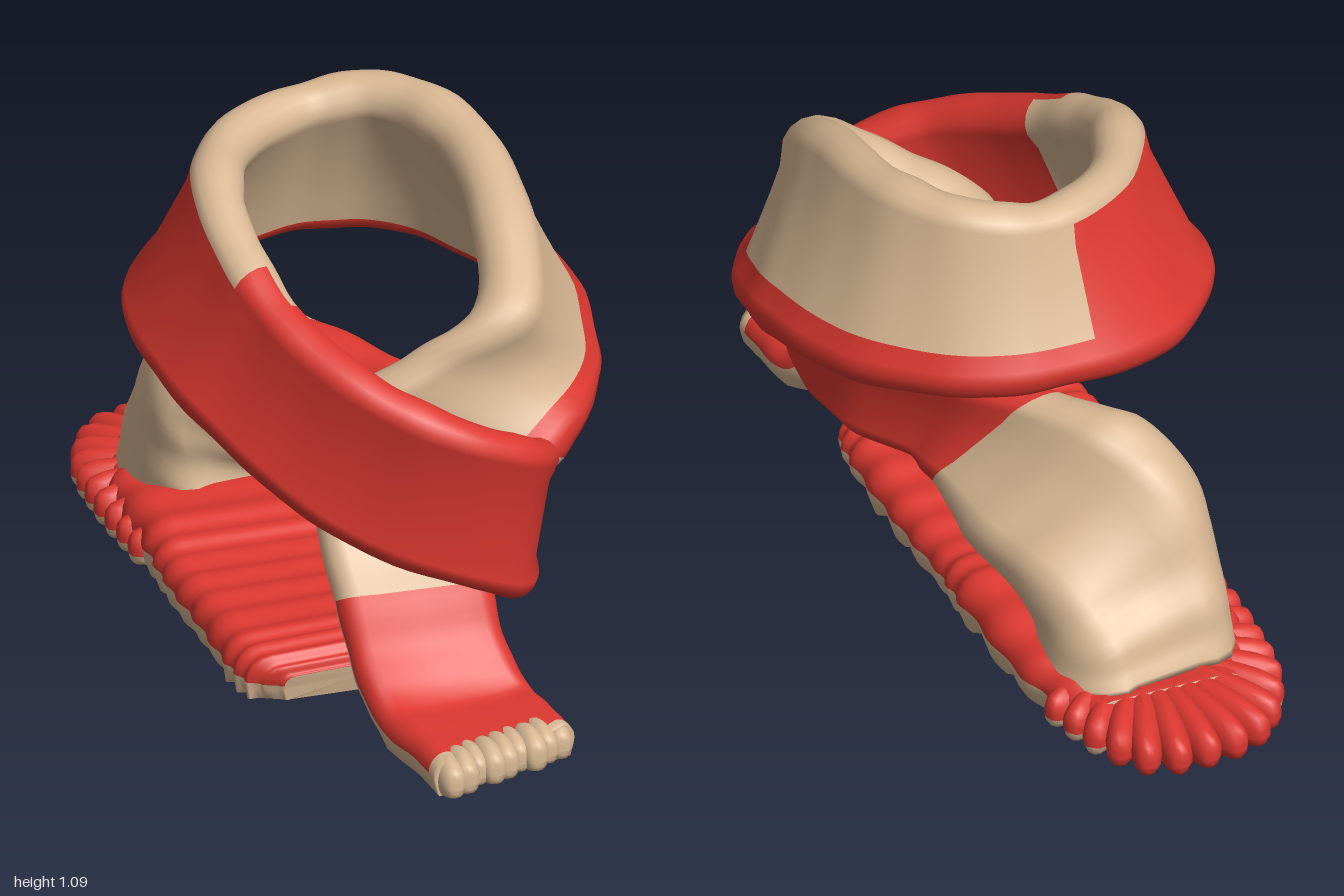
import * as THREE from 'three';

const red = new THREE.MeshStandardMaterial({ color: 0xdc3830 });
red.name = 'knit red';
const beige = new THREE.MeshStandardMaterial({ color: 0xd9b894 });
beige.name = 'wool beige';

// Each station: upper/left edge (x, y, z), lower/right edge (x, y, z), half thickness
const frontTail = [
  [-0.13, 0.04, 0.95, 0.15, 0.04, 0.86, 0.036],
  [-0.13, 0.042, 0.84, 0.14, 0.042, 0.79, 0.042],
  [-0.15, 0.05, 0.68, 0.12, 0.05, 0.66, 0.045],
  [-0.17, 0.13, 0.58, 0.09, 0.13, 0.58, 0.042],
  [-0.18, 0.26, 0.49, 0.08, 0.26, 0.50, 0.042],
  [-0.18, 0.42, 0.38, 0.10, 0.40, 0.44, 0.05],
  [-0.11, 0.59, 0.33, 0.18, 0.47, 0.43, 0.065],
  [0.05, 0.70, 0.36, 0.28, 0.56, 0.40, 0.075],
];
const collar = [
  [0.20, 0.80, 0.37, 0.38, 0.62, 0.22, 0.08],
  [0.265, 0.96, 0.12, 0.42, 0.68, 0.01, 0.064],
  [0.25, 1.02, -0.14, 0.365, 0.715, -0.22, 0.062],
  [0.15, 1.03, -0.30, 0.20, 0.74, -0.405, 0.06],
  [0.00, 1.01, -0.34, 0.00, 0.74, -0.45, 0.058],
  [-0.19, 1.00, -0.25, -0.25, 0.72, -0.385, 0.058],
  [-0.30, 0.98, -0.05, -0.41, 0.695, -0.16, 0.058],
  [-0.305, 0.89, 0.14, -0.41, 0.645, 0.08, 0.058],
  [-0.25, 0.79, 0.33, -0.325, 0.55, 0.30, 0.056],
  [-0.12, 0.70, 0.51, -0.17, 0.43, 0.47, 0.054],
  [0.04, 0.625, 0.58, 0.05, 0.33, 0.54, 0.052],
  [0.19, 0.55, 0.54, 0.17, 0.27, 0.50, 0.052],
  [0.25, 0.49, 0.38, 0.21, 0.265, 0.36, 0.047],
];
const backTail = [
  [0.20, 0.47, 0.15, 0.20, 0.28, 0.15, 0.047],
  [0.09, 0.48, -0.10, 0.13, 0.31, -0.04, 0.052],
  [-0.03, 0.485, -0.28, 0.10, 0.31, -0.18, 0.075],
  [-0.13, 0.455, -0.42, 0.06, 0.27, -0.35, 0.105],
  [-0.20, 0.35, -0.51, 0.02, 0.23, -0.50, 0.13],
  [-0.21, 0.18, -0.57, 0.00, 0.14, -0.59, 0.15],
  [-0.21, 0.06, -0.59, 0.01, 0.06, -0.62, 0.18],
];
const panel = [
  [-0.28, 0.035, 0.395, 0.07, 0.05, 0.395, 0.022],
  [-0.32, 0.042, 0.36, 0.11, 0.062, 0.36, 0.052],
  [-0.33, 0.046, 0.26, 0.12, 0.064, 0.26, 0.058],
  [-0.33, 0.05, 0.05, 0.12, 0.055, 0.05, 0.052],
  [-0.33, 0.052, -0.15, 0.11, 0.052, -0.15, 0.048],
  [-0.31, 0.064, -0.30, 0.105, 0.064, -0.30, 0.062],
  [-0.29, 0.055, -0.60, 0.09, 0.055, -0.60, 0.055],
  [-0.23, 0.048, -0.80, 0.03, 0.048, -0.80, 0.045],
];

// Cross-section: [side, position across, edge bulge, normal offset]
const CAP = 8, section = [];
const addCap = (side, across, sign) => {
  for (let k = 0; k < CAP; k++) {
    const a = (k / CAP) * Math.PI;
    section.push([side + (k < CAP / 2 ? 'Front' : 'Back'), across, sign * Math.sin(a), sign * Math.cos(a)]);
  }
};
addCap('top', 1, 1);
section.push(['inner', 1, 0, -1]);
for (const a of [0.82, 0.5, 0.18]) section.push(['inner', a, 0, -1]);
addCap('bottom', 0, -1);
section.push(['bottomHem', 0, 0, 1]);
for (const a of [0.13, 0.5, 0.82]) section.push(['outer', a, 0, 1]);

// Thick ribbon through the stations; isRed(station, side) picks the colour
function ribbon(name, stations, steps, dent, isRed, swell) {
  const n = stations.length - 1, m = section.length, rows = n * steps;
  const edge = (o) => new THREE.CatmullRomCurve3(stations.map((s) => new THREE.Vector3(s[o], s[o + 1], s[o + 2])));
  const top = edge(0), bottom = edge(3), pos = [], reds = [], beiges = [];
  const middle = (t) => top.getPoint(t).add(bottom.getPoint(t));
  for (let i = 0; i <= rows; i++) {
    const t = i / rows, u = t * n, k = Math.min(Math.floor(u), n - 1);
    const th = THREE.MathUtils.lerp(stations[k][6], stations[k + 1][6], u - k) * swell(u);
    const a = top.getPoint(t), b = bottom.getPoint(t), across = a.clone().sub(b);
    const tangent = middle(Math.min(1, t + 0.01)).sub(middle(Math.max(0, t - 0.01)));
    const normal = tangent.cross(across).normalize(), up = across.clone().normalize();
    for (const [, w, e, c] of section) {
      const flat = w > 0 && w < 1 ? th - dent : th;
      const p = b.clone().addScaledVector(across, w).addScaledVector(up, e * Math.min(th, 0.1));
      p.addScaledVector(normal, c * flat);
      pos.push(p.x, p.y < 0.02 ? 0 : p.y, p.z); // settle flat on the ground
    }
  }
  for (let i = 0; i < rows; i++) for (let j = 0; j < m; j++) {
    const q = i * m + j, r = i * m + (j + 1) % m;
    (isRed((i + 0.5) / steps, section[j][0]) ? reds : beiges).push(q, q + m, r, r, q + m, r + m);
  }
  // Close both ends
  for (const [row, flip] of [[0, false], [rows, true]]) {
    const c = pos.length / 3, mid = middle(row / rows).multiplyScalar(0.5);
    pos.push(mid.x, mid.y, mid.z);
    for (let j = 0; j < m; j++) {
      const q = row * m + j, r = row * m + (j + 1) % m;
      beiges.push(c, flip ? r : q, flip ? q : r);
    }
  }
  const g = new THREE.BufferGeometry();
  g.setAttribute('position', new THREE.Float32BufferAttribute(pos, 3));
  g.setIndex([...reds, ...beiges]);
  g.addGroup(0, reds.length, 0);
  g.addGroup(reds.length, beiges.length, 1);
  g.computeVertexNormals();
  const mesh = new THREE.Mesh(g, [red, beige]);
  mesh.name = name;
  return mesh;
}

// Blunt tassel with a flattened underside, lying from its tip towards an inner point
const FLAT = 0.7;
function tasselHalf(start, length) {
  const g = new THREE.SphereGeometry(1, 16, 6, 0, Math.PI * 2, start, length);
  const p = g.attributes.position;
  for (let i = 0; i < p.count; i++) {
    p.setXYZ(i, p.getX(i), Math.max(-FLAT, p.getY(i)), Math.sin(p.getZ(i) * Math.PI / 2));
  }
  g.computeVertexNormals();
  return g;
}
const upperHalf = tasselHalf(0, 1.8), lowerHalf = tasselHalf(1.8, Math.PI - 1.8);

function tassel(tip, inner, length, radius, upperColour, lowerColour) {
  const dir = inner.clone().sub(tip).normalize();
  const t = new THREE.Group();
  t.name = 'tassel';
  t.add(new THREE.Mesh(upperHalf, upperColour), new THREE.Mesh(lowerHalf, lowerColour));
  t.children[0].name = 'tasselTop';
  t.children[1].name = 'tasselUnderside';
  t.position.copy(tip).addScaledVector(dir, length / 2);
  t.position.y = radius * FLAT + 0.003;
  t.rotation.y = Math.atan2(dir.x, dir.z);
  t.scale.set(radius * 0.7, radius, length / 2);
  return t;
}

export function createModel() {
  const model = new THREE.Group();
  model.name = 'scarf';
  const face = ['outer', 'topFront', 'bottomHem', 'bottomBack'];

  // Wrapped band: front tail, collar loop and back tail in one run
  const bandRed = (u, side) => {
    if (u < 0.35) return false;
    if (u < 4) return face.includes(side);
    if (u < 6.6) return false;
    if (u < 12.3) return side.startsWith('bottom');
    if (u < 15.3) return side.startsWith('bottom') || side === 'outer';
    if (u < 15.8) return side !== 'inner' && side !== 'topBack';
    return u < 22.9;
  };
  const wrinkle = (u) => 1 + 0.03 * Math.sin(u * 5.1) + 0.02 * Math.sin(u * 8.7 + 1);
  model.add(ribbon('wrappedBand', [...frontTail, ...collar, ...backTail], 8, 0.012, bandRed, wrinkle));

  // Ribbed panel lying on the ground
  const panelRed = (u, side) => face.includes(side);
  model.add(ribbon('ribbedPanel', panel, 20, 0, panelRed, (u) => 1 + 0.08 * Math.cos(u * Math.PI * 4)));

  // Tassels at the end of the front tail
  const frontFringe = new THREE.Group();
  frontFringe.name = 'frontFringe';
  for (let i = 0; i < 9; i++) {
    const f = i / 8, wobble = 0.012 * Math.sin(i * 2.3);
    const tip = new THREE.Vector3(-0.13 + 0.28 * f, 0, 0.995 - 0.1 * f + (i ? wobble - 0.01 : 0));
    frontFringe.add(tassel(tip, new THREE.Vector3(tip.x * 0.9, 0, 0.5), 0.12, 0.045 + wobble * 0.2, beige, beige));
  }
  model.add(frontFringe);

  // Tassels fanned around the back of the panel
  const backFringe = new THREE.Group();
  backFringe.name = 'backFringe';
  const rim = new THREE.CatmullRomCurve3([
    [-0.385, -0.36], [-0.385, -0.60], [-0.36, -0.80], [-0.26, -0.96], [-0.12, -1.0],
    [0.01, -0.98], [0.09, -0.87], [0.14, -0.72],
  ].map(([x, z]) => new THREE.Vector3(x, 0, z)));
  for (let i = 0; i < 18; i++) {
    const tip = rim.getPointAt(i / 17);
    const inner = new THREE.Vector3(-0.1, 0, Math.max(tip.z, -0.62));
    backFringe.add(tassel(tip, inner, 0.3, 0.056, red, tip.z < -0.88 ? red : beige));
  }
  model.add(backFringe);
  return model;
}
